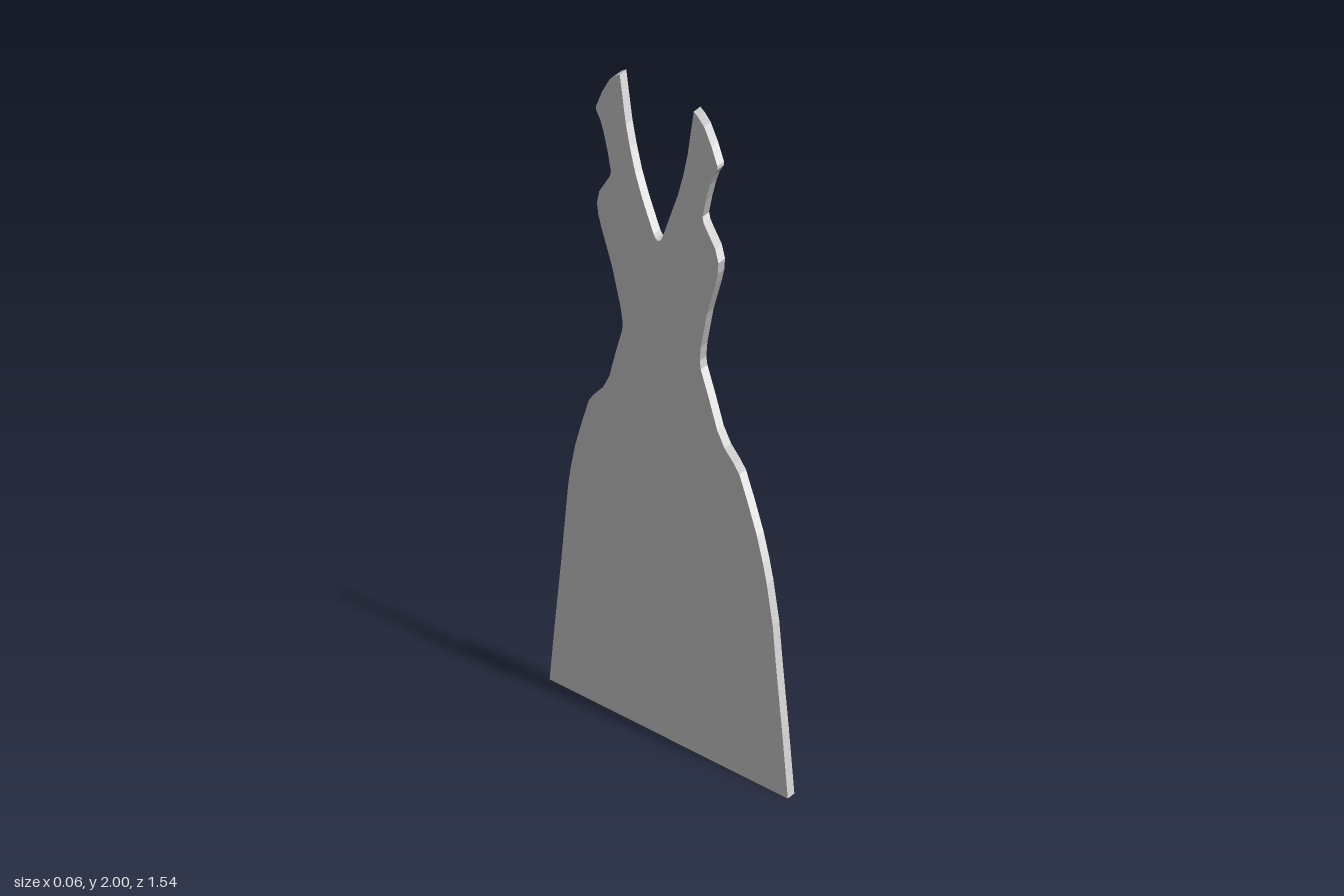
import * as THREE from 'three';

// Half outline of the flat dress: [height, half width]
const OUTER = [
  [0.013, 0.772], [0.2, 0.737], [0.4, 0.696], [0.52, 0.674], [0.64, 0.644], [0.7, 0.623], [0.775, 0.59],
  [0.86, 0.54], [0.94, 0.488], [0.965, 0.455], [1.0, 0.395], [1.045, 0.35], [1.13, 0.303],
  [1.21, 0.255], [1.235, 0.25], [1.28, 0.26], [1.395, 0.308], [1.5, 0.37], [1.535, 0.387],
  [1.57, 0.394], [1.61, 0.376], [1.655, 0.324], [1.672, 0.305], [1.69, 0.297], [1.745, 0.318],
  [1.8, 0.345], [1.83, 0.365], [1.857, 0.394], [1.868, 0.393], [1.92, 0.355], [1.968, 0.308], [1.99, 0.268], [2.0, 0.24],
];
// Half neckline: [height, half width]
const NECK = [[1.545, 0], [1.55, 0.015], [1.56, 0.027], [1.634, 0.08], [1.72, 0.138], [1.79, 0.173], [1.857, 0.2], [2.0, 0.24]];
// Lean of the sheet: [height, x of the middle]
const LEAN = [[0.52, 0.018], [1.66, -0.022]];
const THICK = 0.022, DROP = 0.013;

function sample(table, y) {
  if (y <= table[0][0]) return table[0][1];
  for (let i = 1; i < table.length; i++) {
    const [y0, v0] = table[i - 1], [y1, v1] = table[i];
    if (y <= y1) return v0 + (v1 - v0) * (y - y0) / (y1 - y0);
  }
  return table[table.length - 1][1];
}

function dressGeometry() {
  const positions = [];
  const heights = [...new Set([...OUTER, ...NECK, ...LEAN].map(p => p[0]))].sort((a, b) => a - b);

  // Corners of one cross-section on one side: outer/inner, front/back of the sheet
  const row = (y, side) => {
    const x = sample(LEAN, y), o = side * sample(OUTER, y), n = side * sample(NECK, y);
    return {
      of: [x + THICK / 2, y, o], nf: [x + THICK / 2, y, n],
      ob: [x - THICK / 2, y - DROP, o], nb: [x - THICK / 2, y - DROP, n],
    };
  };

  for (const side of [1, -1]) {
    const quad = (a, b, c, d) => {
      const order = side > 0 ? [a, b, c, a, c, d] : [a, c, b, a, d, c];
      for (const p of order) positions.push(...p);
    };
    for (let i = 0; i < heights.length - 1; i++) {
      const a = row(heights[i], side), b = row(heights[i + 1], side);
      if (i === 0) quad(a.nb, a.nf, a.of, a.ob); // hem
      quad(a.of, a.nf, b.nf, b.of); // front sheet
      quad(a.nb, a.ob, b.ob, b.nb); // back sheet
      quad(a.ob, a.of, b.of, b.ob); // outer edge
      if (b.nf[2] !== 0) quad(a.nf, a.nb, b.nb, b.nf); // neckline edge
    }
  }
  const geometry = new THREE.BufferGeometry();
  geometry.setAttribute('position', new THREE.Float32BufferAttribute(positions, 3));
  geometry.computeVertexNormals();
  return geometry;
}

export function createModel() {
  const group = new THREE.Group();
  const dress = new THREE.Mesh(dressGeometry(), new THREE.MeshStandardMaterial({ color: 0xcccccc }));
  dress.name = 'dressPanel';
  group.add(dress);
  return group;
}
